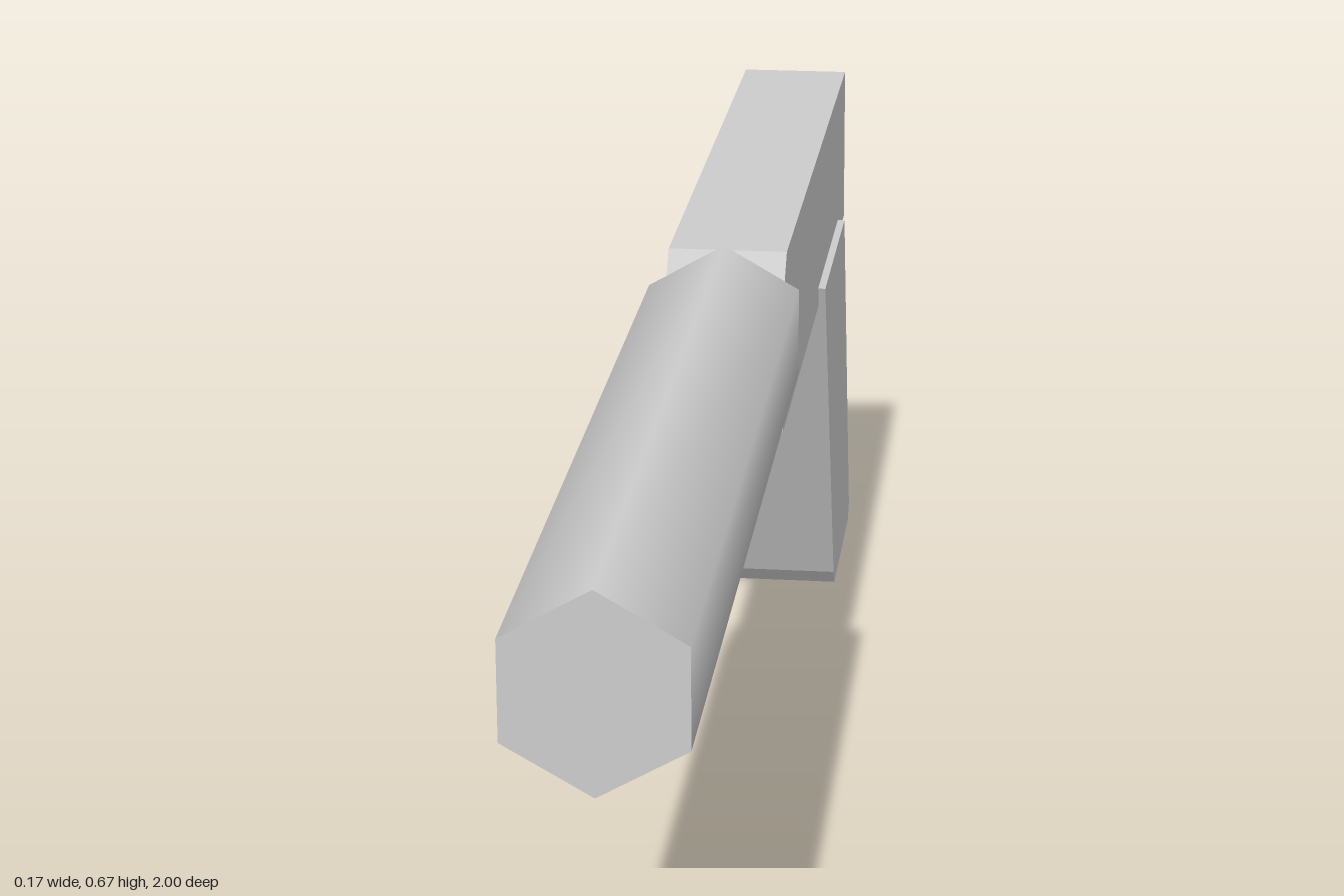
import * as THREE from 'three';

// Extrudes a side profile of [z, y] points across the width, centred on x = 0
function sidePlate(name, points, width, material) {
  const shape = new THREE.Shape(points.map(([z, y]) => new THREE.Vector2(-z, y)));
  const geometry = new THREE.ExtrudeGeometry(shape, { depth: width, bevelEnabled: false });
  geometry.translate(0, 0, -width / 2).rotateY(Math.PI / 2);
  const mesh = new THREE.Mesh(geometry, material);
  mesh.name = name;
  return mesh;
}

export function createModel() {
  const model = new THREE.Group();
  model.name = 'pistol';
  const lightGrey = new THREE.MeshStandardMaterial({ color: 0xcccccc });
  lightGrey.name = 'lightGrey';

  // Six-sided barrel with smooth-shaded sides, point upward
  const barrelBack = -0.045, barrelFront = 1;
  const barrelGeometry = new THREE.CylinderGeometry(0.0975, 0.0975, barrelFront - barrelBack, 6);
  barrelGeometry.rotateX(Math.PI / 2);
  const barrel = new THREE.Mesh(barrelGeometry, lightGrey);
  barrel.name = 'barrel';
  barrel.position.set(0, 0.5765, (barrelFront + barrelBack) / 2);
  model.add(barrel);

  // Body with chamfered front top edge and slightly slanted back
  model.add(sidePlate('body', [
    [-0.053, 0.454], [-0.955, 0.454], [-0.945, 0.657], [-0.085, 0.657], [-0.053, 0.622],
  ], 0.134, lightGrey));

  // Raked grip with clipped bottom corners
  model.add(sidePlate('grip', [
    [-0.53, 0.479], [-0.725, 0.021], [-0.742, 0], [-0.982, 0], [-1, 0.02], [-0.845, 0.479],
  ], 0.152, lightGrey));

  return model;
}
